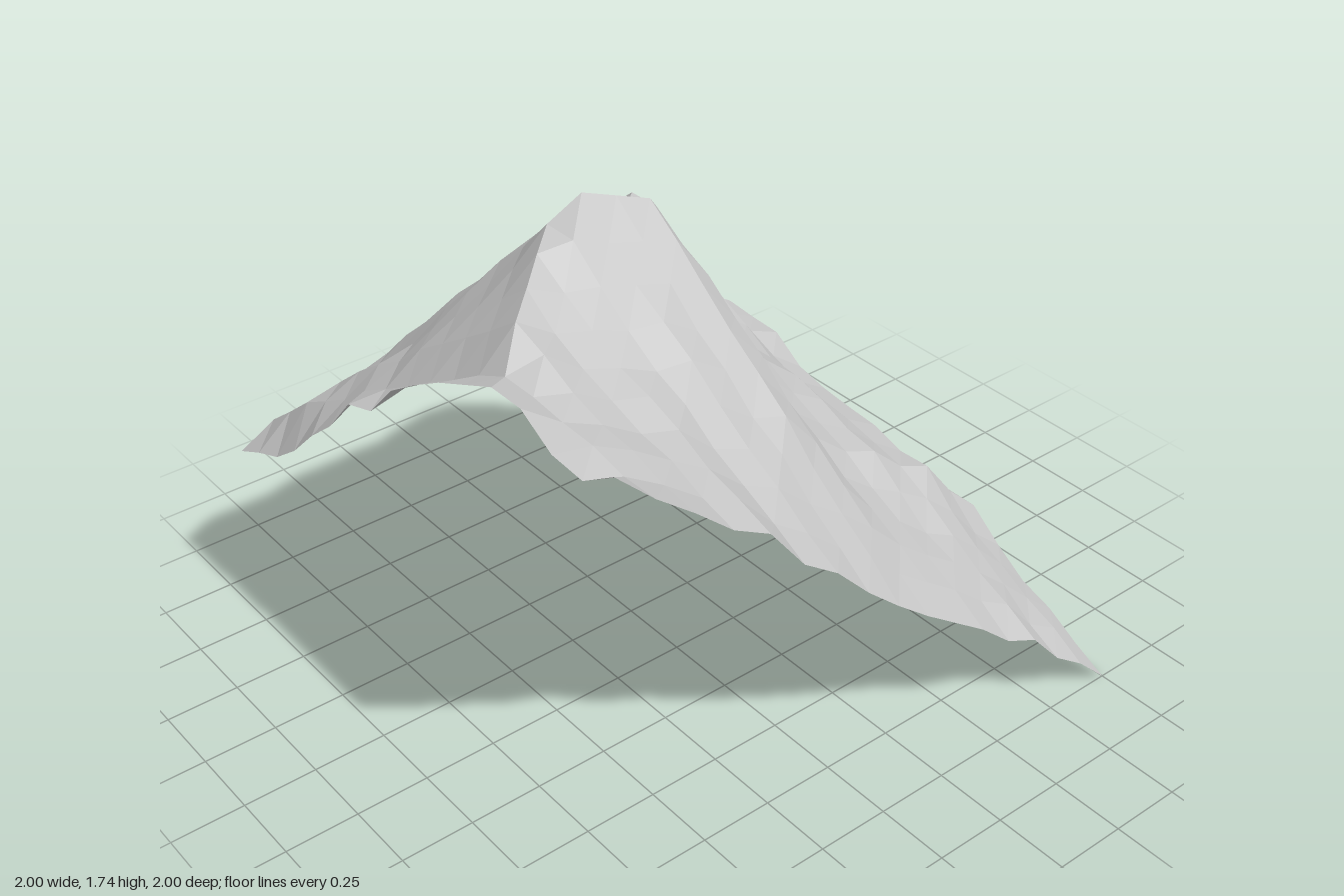
import * as THREE from 'three';

const N = 16; // cells per side

// One entry per grid row from back (z = -1) to front (z = 1):
// [crest start x, crest end x, crest height, height at the -x border, height at the +x border]
const ROWS = [
  [-0.75, -0.625, 0.44, 0.31, 0], [-0.75, -0.625, 0.575, 0.31, 0.12],
  [-0.625, -0.625, 0.79, 0.3, 0.21], [-0.625, -0.625, 0.87, 0.44, 0.35],
  [-0.625, -0.625, 1.05, 0.56, 0.41], [-0.625, -0.625, 1.17, 0.7, 0.52],
  [-0.625, -0.5, 1.3, 0.83, 0.61], [-0.375, -0.25, 1.52, 0.88, 0.7],
  [-0.125, -0.125, 1.64, 0.86, 0.8], [-0.125, -0.125, 1.69, 0.81, 0.91],
  [-0.125, -0.125, 1.74, 0.81, 1.04], [-0.125, 0, 1.68, 0.81, 1.13],
  [0, 0, 1.68, 0.81, 1.29], [0.125, 0.125, 1.67, 0.77, 1.36],
  [0.25, 0.25, 1.67, 0.77, 1.47], [0.375, 0.375, 1.61, 0.77, 1.57],
  [0.5, 0.5, 1.69, 0.7, 1.69],
];

// Border outlines from -x to +x
const BACK = [0.31, 0.41, 0.44, 0.44, 0.435, 0.43, 0.36, 0.34, 0.345, 0.345, 0.345, 0.345, 0.25, 0.17, 0.13, 0.06, 0];
const FRONT = [0.7, 0.76, 0.81, 0.9, 1.02, 1.12, 1.26, 1.3, 1.43, 1.51, 1.58, 1.635, 1.69, 1.69, 1.62, 1.61, 1.69];

// Small repeatable roughness for the rock faces
const rough = (i, j) => {
  const s = Math.sin(i * 127.1 + j * 311.7) * 43758.5453;
  return (s - Math.floor(s) - 0.5) * 0.03;
};

function heightAt(i, j) {
  if (j === 0) return BACK[i];
  if (j === N) return FRONT[i];
  const [startX, endX, crestY, leftY, rightY] = ROWS[j];
  const x = -1 + (2 * i) / N;
  if (x >= startX && x <= endX) return crestY;
  const bump = i === 0 || i === N ? 0 : rough(i, j);
  if (x < startX) {
    const t = (x + 1) / (startX + 1);
    return leftY + (crestY - leftY) * Math.pow(t, 0.9) + bump;
  }
  // The far slope follows the back outline at its foot and drops sharply off the peak
  const t = (x - endX) / (1 - endX);
  const drop = Math.pow(t, Math.max(0.75, 1.5 - 0.06 * j));
  const foot = Math.max(0, 1 - j / 6);
  const shape = THREE.MathUtils.lerp(drop, 1 - BACK[i] / 0.44, foot);
  return Math.min(crestY, crestY + (rightY - crestY) * shape + bump);
}

export function createModel() {
  const group = new THREE.Group();
  group.name = 'mountainRidge';

  // Height grid, each cell split along its back-left to front-right diagonal
  const positions = [];
  const indices = [];
  for (let j = 0; j <= N; j++) {
    for (let i = 0; i <= N; i++) {
      positions.push(-1 + (2 * i) / N, heightAt(i, j), -1 + (2 * j) / N);
      if (i < N && j < N) {
        const a = j * (N + 1) + i;
        const b = a + N + 1;
        indices.push(a, b, b + 1, a, b + 1, a + 1);
      }
    }
  }
  const geometry = new THREE.BufferGeometry();
  geometry.setAttribute('position', new THREE.Float32BufferAttribute(positions, 3));
  geometry.setIndex(indices);
  geometry.computeVertexNormals();

  const terrain = new THREE.Mesh(
    geometry,
    new THREE.MeshStandardMaterial({ color: 0xcccccc, flatShading: true, side: THREE.DoubleSide })
  );
  terrain.name = 'terrainSurface';
  group.add(terrain);
  return group;
}
